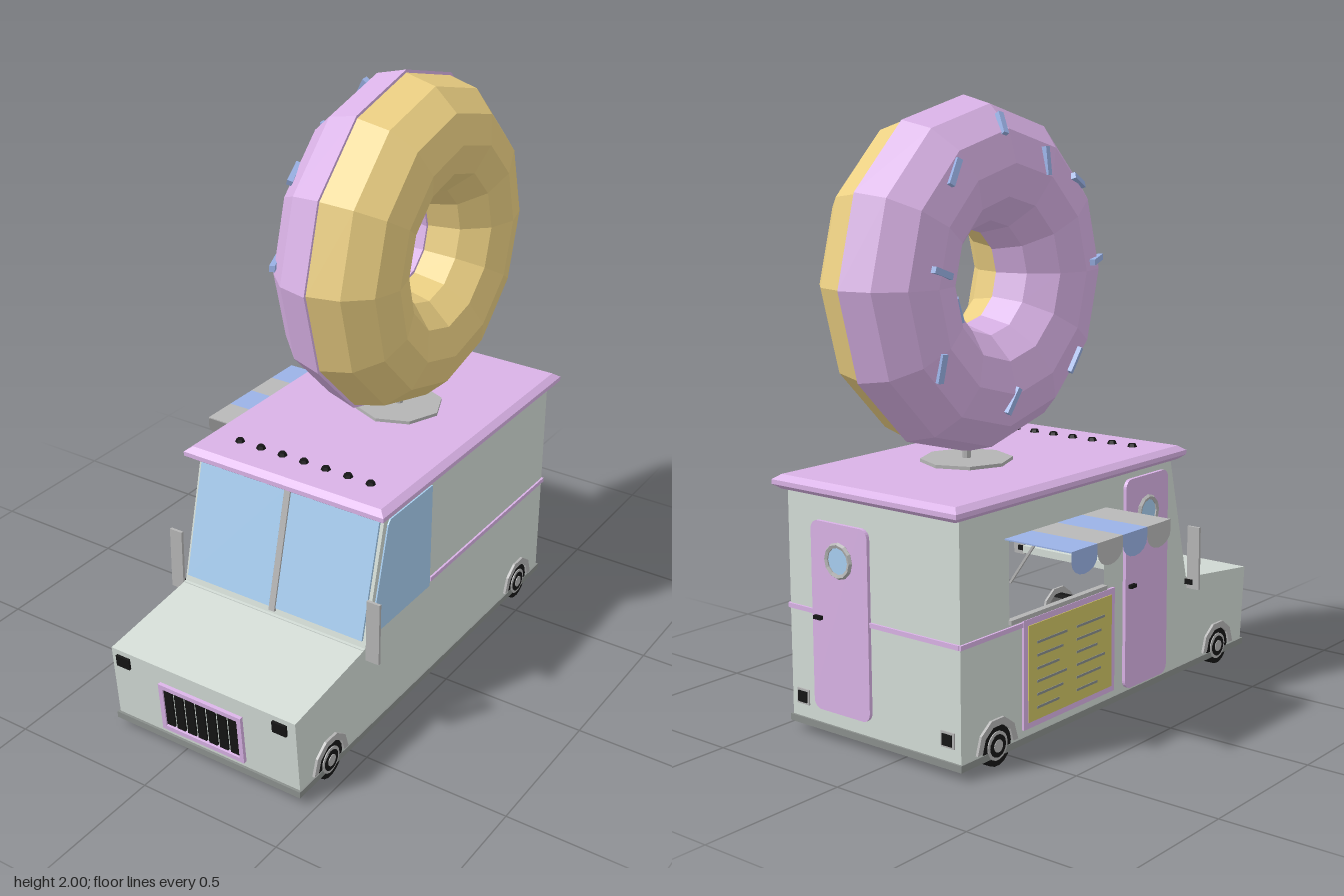
import * as THREE from 'three';

const mat = (color, flat = false, side = THREE.FrontSide) =>
  new THREE.MeshStandardMaterial({ color, flatShading: flat, side });
const M = {
  body: mat(0xd3dcd6, true), grey: mat(0xb4b4b4, true), dark: mat(0x151515, true), under: mat(0x8a8f8c, true),
  pink: mat(0xd9b2e6, true), dough: mat(0xecd083, true), blue: mat(0x9ab2e6, true), glass: mat(0xa8cef0),
  menu: mat(0xcfc463), blueCloth: mat(0x9ab2e6, false, THREE.DoubleSide), greyCloth: mat(0xb8b8b8, false, THREE.DoubleSide),
};
const XL = -0.26, XR = 0.45, XC = 0.095;

function add(parent, name, geo, material, x = 0, y = 0, z = 0) {
  const m = new THREE.Mesh(geo, material);
  m.name = name;
  m.position.set(x, y, z);
  parent.add(m);
  return m;
}
// box given by its min and max corners
function box(parent, name, material, x0, x1, y0, y1, z0, z1) {
  return add(parent, name, new THREE.BoxGeometry(x1 - x0, y1 - y0, z1 - z0), material,
    (x0 + x1) / 2, (y0 + y1) / 2, (z0 + z1) / 2);
}
// outline of [z, y] points drawn on a side wall; dir +1 faces +x, -1 faces -x
function sideShape(points, dir, hole) {
  const v = (pts) => pts.map(([z, y]) => new THREE.Vector2(-dir * z, y));
  const s = new THREE.Shape(v(points));
  if (hole) s.holes.push(new THREE.Path(v(hole)));
  return s;
}
function sidePanel(points, dir, depth, hole) {
  const s = sideShape(points, dir, hole);
  const g = depth ? new THREE.ExtrudeGeometry(s, { depth, bevelEnabled: false }) : new THREE.ShapeGeometry(s);
  return g.rotateY(dir * Math.PI / 2);
}
function roundedRect(w, h, r) {
  const s = new THREE.Shape();
  s.absarc(w / 2 - r, h / 2 - r, r, 0, Math.PI / 2);
  s.absarc(-w / 2 + r, h / 2 - r, r, Math.PI / 2, Math.PI);
  s.absarc(-w / 2 + r, -h / 2 + r, r, Math.PI, Math.PI * 1.5);
  s.absarc(w / 2 - r, -h / 2 + r, r, Math.PI * 1.5, Math.PI * 2);
  return s;
}
// door facing +z with a round window and a handle
function door(name, w, h, portY) {
  const g = new THREE.Group();
  g.name = name;
  add(g, 'doorPanel', new THREE.ExtrudeGeometry(roundedRect(w, h, 0.03),
    { depth: 0.012, bevelEnabled: false, curveSegments: 3 }), M.pink);
  add(g, 'portholeRim', new THREE.TorusGeometry(0.05, 0.009, 5, 12), M.grey, 0, portY, 0.014);
  add(g, 'portholeGlass', new THREE.CircleGeometry(0.05, 12), M.glass, 0, portY, 0.015);
  box(g, 'doorHandle', M.dark, -w / 2 + 0.015, -w / 2 + 0.045, -0.01, 0.002, 0.01, 0.025);
  return g;
}

function buildBody(g) {
  const prof = [[0.8, 0.04], [0.825, 0.315], [0.44, 0.36], [0.335, 0.795], [-0.745, 0.795], [-0.745, 0.04]];
  const hatch = [[-0.52, 0.44], [-0.04, 0.44], [-0.04, 0.69], [-0.52, 0.69]];
  add(g, 'rightWall', sidePanel(prof, 1, 0), M.body, XR);
  add(g, 'leftWall', sidePanel(prof, -1, 0, hatch), M.body, XL);
  const pos = [];
  prof.forEach((a, i) => {
    const b = prof[(i + 1) % prof.length];
    const q = [[XL, a], [XR, a], [XR, b], [XL, b]];
    for (const k of [0, 1, 2, 0, 2, 3]) pos.push(q[k][0], q[k][1][1], q[k][1][0]);
  });
  const shell = new THREE.BufferGeometry();
  shell.setAttribute('position', new THREE.Float32BufferAttribute(pos, 3));
  shell.computeVertexNormals();
  add(g, 'bodyShell', shell, M.body);
  box(g, 'skirt', M.under, XL - 0.006, XR + 0.006, 0.03, 0.052, -0.752, 0.81);
  box(g, 'cowl', M.body, XL, XR, 0.335, 0.362, 0.42, 0.45);

  // roof slab with bevelled rim
  const w = 0.72, d = 1.135;
  const rs = new THREE.Shape([[-w / 2, -d / 2], [w / 2, -d / 2], [w / 2, d / 2], [-w / 2, d / 2]]
    .map((p) => new THREE.Vector2(...p)));
  const roof = new THREE.ExtrudeGeometry(rs, { depth: 0.015, bevelThickness: 0.016, bevelSize: 0.022, bevelSegments: 1 });
  add(g, 'roof', roof.rotateX(-Math.PI / 2), M.pink, XC + 0.003, 0.806, -0.195);
  for (let i = 0; i < 7; i++)
    add(g, 'roofLight', new THREE.CylinderGeometry(0.012, 0.018, 0.014, 6), M.dark, -0.155 + i * 0.084, 0.841, 0.26);

  // belt trim
  box(g, 'rightTrim', M.pink, XR, XR + 0.007, 0.405, 0.42, -0.75, 0.05);
  box(g, 'rearTrim', M.pink, XL, XR, 0.405, 0.42, -0.752, -0.744);
  box(g, 'leftTrim', M.pink, XL - 0.007, XL, 0.405, 0.42, -0.75, -0.46);
}

function buildFront(g) {
  // windshield panes on the sloping face
  const ws = new THREE.Group();
  ws.name = 'windshield';
  ws.position.set(XC, 0.578, 0.39);
  ws.rotation.x = -Math.atan2(0.105, 0.435);
  g.add(ws);
  for (const s of [-1, 1]) box(ws, 'windshieldPane', M.glass, s * 0.178 - 0.165, s * 0.178 + 0.165, -0.198, 0.198, -0.004, 0.006);
  box(ws, 'windshieldDivider', M.grey, -0.011, 0.011, -0.21, 0.205, -0.004, 0.009);
  add(g, 'sideWindow', sidePanel([[0.415, 0.39], [0.405, 0.43], [0.322, 0.755], [0.31, 0.77], [0.055, 0.77], [0.055, 0.39]],
    1, 0.005), M.glass, XR);

  // grille and headlights on the nose
  const nose = new THREE.Group();
  nose.name = 'nose';
  nose.position.set(0.09, 0.165, 0.812);
  nose.rotation.x = Math.atan2(0.025, 0.275);
  g.add(nose);
  for (const s of [-1, 1]) {
    box(nose, 'grilleFrameUpright', M.pink, s * 0.152 - 0.008, s * 0.152 + 0.008, -0.09, 0.09, -0.002, 0.012);
    box(nose, 'grilleFrameRail', M.pink, -0.16, 0.16, s * 0.082 - 0.008, s * 0.082 + 0.008, -0.002, 0.012);
    box(nose, 'headlight', M.dark, s * 0.303 - 0.026, s * 0.303 + 0.026, 0.092, 0.132, -0.002, 0.008);
  }
  for (let i = 0; i < 7; i++) box(nose, 'grilleSlot', M.dark, -0.145 + i * 0.042, -0.113 + i * 0.042, -0.07, 0.07, -0.002, 0.007);

  // mirrors on short arms
  for (const s of [-1, 1]) {
    const x = XC + s * 0.385;
    box(g, 'mirror', M.grey, x - 0.024, x + 0.024, 0.325, 0.545, 0.436, 0.446);
    box(g, 'mirrorArm', M.dark, XC + s * 0.365 - 0.02, XC + s * 0.365 + 0.02, 0.34, 0.358, 0.43, 0.437);
  }
}

function buildWheels(g) {
  for (const z of [0.64, -0.585]) {
    add(g, 'axle', new THREE.CylinderGeometry(0.022, 0.022, 0.66, 8).rotateZ(Math.PI / 2), M.dark, XC, 0.04, z);
    for (const s of [-1, 1]) {
      const disc = (name, r, h, off, m) =>
        add(g, name, new THREE.CylinderGeometry(r, r, h, 18).rotateZ(Math.PI / 2), m, XC + s * off, 0.065, z);
      disc('tyre', 0.065, 0.058, 0.33, M.dark);
      disc('wheelRim', 0.046, 0.008, 0.358, M.grey);
      disc('wheelDish', 0.036, 0.008, 0.36, M.dark);
      disc('hub', 0.02, 0.01, 0.361, M.grey);
      // angular arch around each wheel
      const arch = [];
      for (let i = 0; i <= 5; i++) arch.push([i * Math.PI / 5, 0.095]);
      for (let i = 5; i >= 0; i--) arch.push([i * Math.PI / 5, 0.072]);
      add(g, 'wheelArch', sidePanel(arch.map(([a, r]) => [z + r * Math.cos(a), 0.06 + r * Math.sin(a)]), s, 0.009),
        M.grey, s > 0 ? XR : XL);
    }
  }
}

function buildDoorsAndHatch(g) {
  const rear = door('rearDoor', 0.24, 0.61, 0.19);
  rear.position.set(0.22, 0.405, -0.745);
  rear.rotation.y = Math.PI;
  const left = door('leftDoor', 0.24, 0.71, 0.23);
  left.position.set(XL, 0.415, 0.185);
  left.rotation.y = -Math.PI / 2;
  g.add(rear, left);
  for (const x of [-0.21, 0.4]) {
    box(g, 'tailLightFrame', M.grey, x - 0.026, x + 0.026, 0.095, 0.145, -0.75, -0.744);
    box(g, 'tailLight', M.dark, x - 0.019, x + 0.019, 0.102, 0.138, -0.754, -0.744);
  }

  // menu board below the hatch
  box(g, 'menuFrame', M.pink, XL - 0.008, XL, 0.075, 0.425, -0.46, 0.01);
  box(g, 'menuPanel', M.menu, XL - 0.011, XL, 0.095, 0.405, -0.44, -0.01);
  for (const z of [-0.4, -0.2]) for (let i = 0; i < 6; i++)
    box(g, 'menuLine', M.under, XL - 0.013, XL, 0.13 + i * 0.042, 0.138 + i * 0.042, z, z + 0.11 + 0.02 * (i % 3));
  box(g, 'hatchSill', M.grey, XL - 0.012, XL + 0.01, 0.428, 0.442, -0.525, -0.035);

  // striped awning with scalloped edge
  for (let i = 0; i < 4; i++) {
    const z = -0.54 + 0.1275 * i, m = i % 2 ? M.greyCloth : M.blueCloth;
    box(g, 'awningStripe', m, -0.51, XL, 0.694, 0.698, z, z + 0.1275);
    const edge = [[z, 0.698], [z + 0.1275, 0.698]];
    for (let k = 0; k <= 8; k++) {
      const a = k * Math.PI / 8;
      edge.push([z + 0.06375 * (1 + Math.cos(a)), 0.665 - 0.045 * Math.sin(a)]);
    }
    add(g, 'awningScallop', sidePanel(edge, -1, 0), m, -0.51);
  }
  for (const z of [-0.52, -0.05])
    add(g, 'awningBrace', new THREE.BoxGeometry(0.007, 0.165, 0.007), M.grey, -0.312, 0.627, z).rotation.z = Math.atan2(0.095, 0.135);
}

function buildDonut(g) {
  const R = 0.36, depth = 0.213, C = new THREE.Vector3(0.135, 1.435, -0.255);
  const half = (r, from) => {
    const pts = [];
    for (let i = 0; i <= 6; i++) {
      const a = from + i * Math.PI / 6;
      pts.push(new THREE.Vector2(R + r * Math.cos(a), depth * Math.sin(a)));
    }
    return pts;
  };
  const lathe = (pts) => new THREE.LatheGeometry(pts, 12).rotateZ(-Math.PI / 2);
  add(g, 'donutDough', lathe(half(0.197, 0)), M.dough, C.x, C.y, C.z);
  // icing half, with a narrow lip over the dough
  const icing = [new THREE.Vector2(R - 0.195, 0), ...half(0.207, -Math.PI), new THREE.Vector2(R + 0.195, 0)];
  add(g, 'donutIcing', lathe(icing), M.pink, C.x, C.y, C.z);

  // sprinkles: angle round ring, angle round tube, spin, length
  const sprinkles = [[4, 65, 90, 0.13], [40, 62, 30, 0.09], [66, 80, 110, 0.09], [92, 55, 70, 0.08], [128, 70, 20, 0.09],
    [172, 95, 80, 0.09], [215, 75, 140, 0.09], [268, 85, 60, 0.09], [318, 70, 10, 0.09], [200, 130, 0, 0.08]];
  for (const [p, t, s, len] of sprinkles) {
    const [a, b, c] = [p, t, s].map(THREE.MathUtils.degToRad);
    const d = new THREE.Vector3(0, Math.sin(a), Math.cos(a));
    const n = d.clone().multiplyScalar(Math.cos(b)).add(new THREE.Vector3(-Math.sin(b), 0, 0));
    const t1 = new THREE.Vector3(0, Math.cos(a), -Math.sin(a));
    const along = t1.clone().multiplyScalar(Math.cos(c)).addScaledVector(n.clone().cross(t1), Math.sin(c));
    const m = add(g, 'sprinkle', new THREE.BoxGeometry(len, 0.018, 0.02), M.blue);
    m.quaternion.setFromRotationMatrix(new THREE.Matrix4().makeBasis(along, n, along.clone().cross(n)));
    m.position.copy(C).addScaledVector(d, R).addScaledVector(n, 0.207);
  }
  // mount on the roof
  add(g, 'donutPlate', new THREE.CylinderGeometry(0.15, 0.15, 0.012, 8), M.grey, C.x, 0.842, C.z);
  add(g, 'donutPost', new THREE.CylinderGeometry(0.015, 0.015, 0.06, 8), M.grey, C.x, 0.865, C.z);
}

export function createModel() {
  const root = new THREE.Group();
  root.name = 'donutTruck';
  const parts = { body: buildBody, cab: buildFront, wheels: buildWheels, doorsAndHatch: buildDoorsAndHatch, donutSign: buildDonut };
  for (const [name, build] of Object.entries(parts)) {
    const g = new THREE.Group();
    g.name = name;
    build(g);
    root.add(g);
  }
  return root;
}
